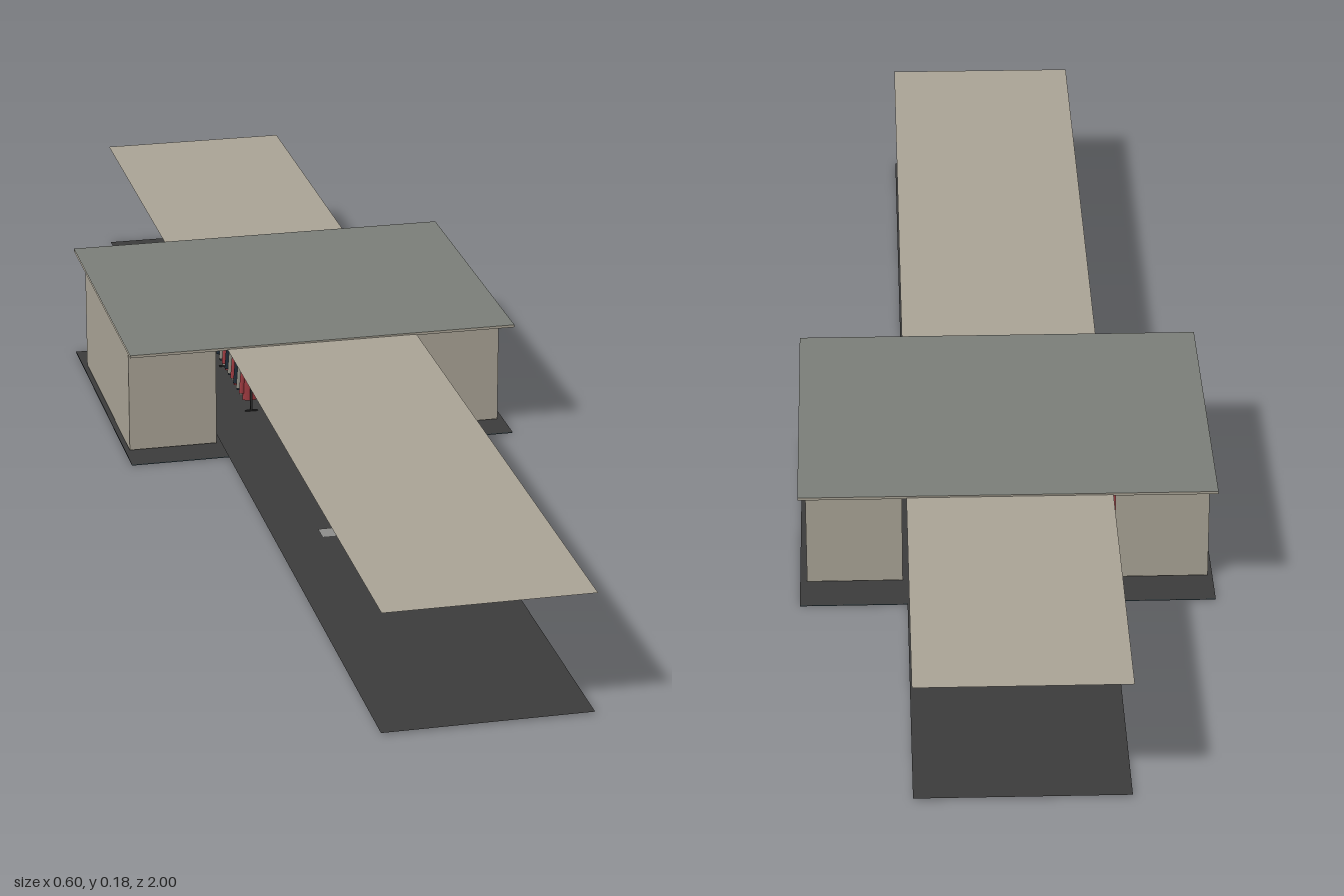
import * as THREE from 'three';

const mat = (name, color) => {
  const m = new THREE.MeshStandardMaterial({ color, side: THREE.DoubleSide });
  m.name = name;
  return m;
};

export function createModel() {
  const beige = mat('beige plaster', 0xa8a294);
  const roofGray = mat('roof gray', 0x7a7d77);
  const floorGray = mat('floor gray', 0x3b3b3b);
  const slabDark = mat('dark slate', 0x222f33);
  const tileGray = mat('tile gray', 0x8c8c8a);
  const metal = mat('dark metal', 0x2c2c2c);
  const red = mat('red cloth', 0x9c3a40);
  const navy = mat('navy cloth', 0x1f2b36);
  const pale = mat('pale cloth', 0x8d8a80);

  const model = new THREE.Group();
  model.name = 'shopOnCorridor';

  const add = (parent, name, geo, material, x, y, z) => {
    const m = new THREE.Mesh(geo, material);
    m.name = name;
    m.position.set(x, y, z);
    parent.add(m);
    return m;
  };
  // Horizontal sheet; faceUp chooses the way it looks
  const sheet = (name, w, d, material, x, y, z) =>
    add(model, name, new THREE.PlaneGeometry(w, d).rotateX(-Math.PI / 2), material, x, y, z);
  const rod = (parent, name, w, h, d, x, y, z) =>
    add(parent, name, new THREE.BoxGeometry(w, h, d), metal, x, y, z);

  // Long corridor and the wider shop bay
  const bayZ = -0.2425, bayD = 0.495;
  sheet('baySlabUnderside', 0.6, bayD, slabDark, 0, 0, bayZ);
  sheet('bayFloor', 0.6, bayD, floorGray, 0, 0.0015, bayZ);
  sheet('corridorFloor', 0.295, 2, floorGray, -0.0025, 0.0025, 0);
  sheet('corridorCeiling', 0.295, 2, beige, -0.0025, 0.1765, 0);
  sheet('bayCeiling', 0.6, bayD, beige, 0, 0.175, bayZ);
  sheet('bayRoof', 0.6, bayD, roofGray, 0, 0.179, bayZ);
  for (const z of [0.005, -0.49])
    add(model, 'roofEdge', new THREE.PlaneGeometry(0.6, 0.004), beige, 0, 0.177, z);

  // Pale tiles lying on the corridor floor
  for (const [x, z] of [[-0.06, 0.33], [0.015, 0.4], [-0.057, -0.43], [0.047, -0.65]])
    sheet('floorTile', 0.04, 0.03, tileGray, x, 0.0035, z);

  // Alcove walls on both sides, open towards the corridor
  const front = -0.05, back = -0.425, h = 0.16, y = 0.083;
  for (const [outer, inner] of [[-0.293, -0.157], [0.29, 0.151]]) {
    const alcove = new THREE.Group();
    alcove.name = outer > 0 ? 'leftAlcove' : 'rightAlcove';
    model.add(alcove);
    for (const z of [front, back])
      add(alcove, 'endWall', new THREE.PlaneGeometry(Math.abs(outer - inner), h), beige, (outer + inner) / 2, y, z);
    add(alcove, 'outerWall', new THREE.PlaneGeometry(front - back, h).rotateY(Math.PI / 2),
      beige, outer, y, (front + back) / 2);
  }

  // Ceiling lamps
  for (const x of [-0.21, -0.007, 0.185])
    for (const z of [-0.13, -0.35])
      add(model, 'ceilingLamp', new THREE.CylinderGeometry(0.0125, 0.0125, 0.002, 16), metal, x, 0.1735, z);

  // Hanging garment: tapered flat body with two sleeves and a collar
  const garment = (rack, w, bottom, top, z, cloth) => {
    const g = new THREE.Group();
    g.name = 'garment';
    g.position.set(0, 0, z);
    rack.add(g);
    const len = top - bottom, mid = (top + bottom) / 2;
    const body = add(g, 'body', new THREE.CylinderGeometry(0.3 * w, 0.38 * w, len * 0.92, 10), cloth, 0, mid - len * 0.04, 0);
    body.scale.z = 0.45;
    add(g, 'collar', new THREE.CylinderGeometry(0.12 * w, 0.2 * w, len * 0.1, 8), cloth, 0, top - len * 0.05, 0).scale.z = 0.6;
    for (const s of [-1, 1]) {
      const sleeve = add(g, 'sleeve', new THREE.CylinderGeometry(0.1 * w, 0.13 * w, len * 0.7, 8), cloth, s * 0.36 * w, mid, 0);
      sleeve.rotation.z = s * 0.06;
    }
  };

  // Clothes rack running along z: posts, feet and a bar for every tier
  const makeRack = (name, x, z0, z1, postTop, w, tiers, cloths) => {
    const rack = new THREE.Group();
    rack.name = name;
    rack.position.x = x;
    model.add(rack);
    for (const z of [z0, z1]) {
      rod(rack, 'post', 0.003, postTop, 0.003, 0, postTop / 2 + 0.002, z);
      rod(rack, 'foot', 0.02, 0.002, 0.004, 0, 0.003, z);
    }
    for (const [bottom, top] of tiers) {
      rod(rack, 'hangingBar', 0.002, 0.002, z0 - z1, 0, top, (z0 + z1) / 2);
      const n = 9;
      for (let i = 0; i < n; i++)
        garment(rack, w, bottom, top, z0 - (z0 - z1) * (i + 0.5) / n, cloths[i % cloths.length]);
    }
  };
  makeRack('centreRack', -0.077, -0.17, -0.37, 0.09, 0.032, [[0.018, 0.094]], [red, pale, navy]);
  makeRack('doubleRack', 0.085, -0.1, -0.3, 0.16, 0.02, [[0.021, 0.079], [0.092, 0.135]], [pale, red, navy]);
  makeRack('alcoveRack', -0.165, -0.12, -0.34, 0.095, 0.04, [[0.045, 0.095]], [navy, navy, red]);

  return model;
}
